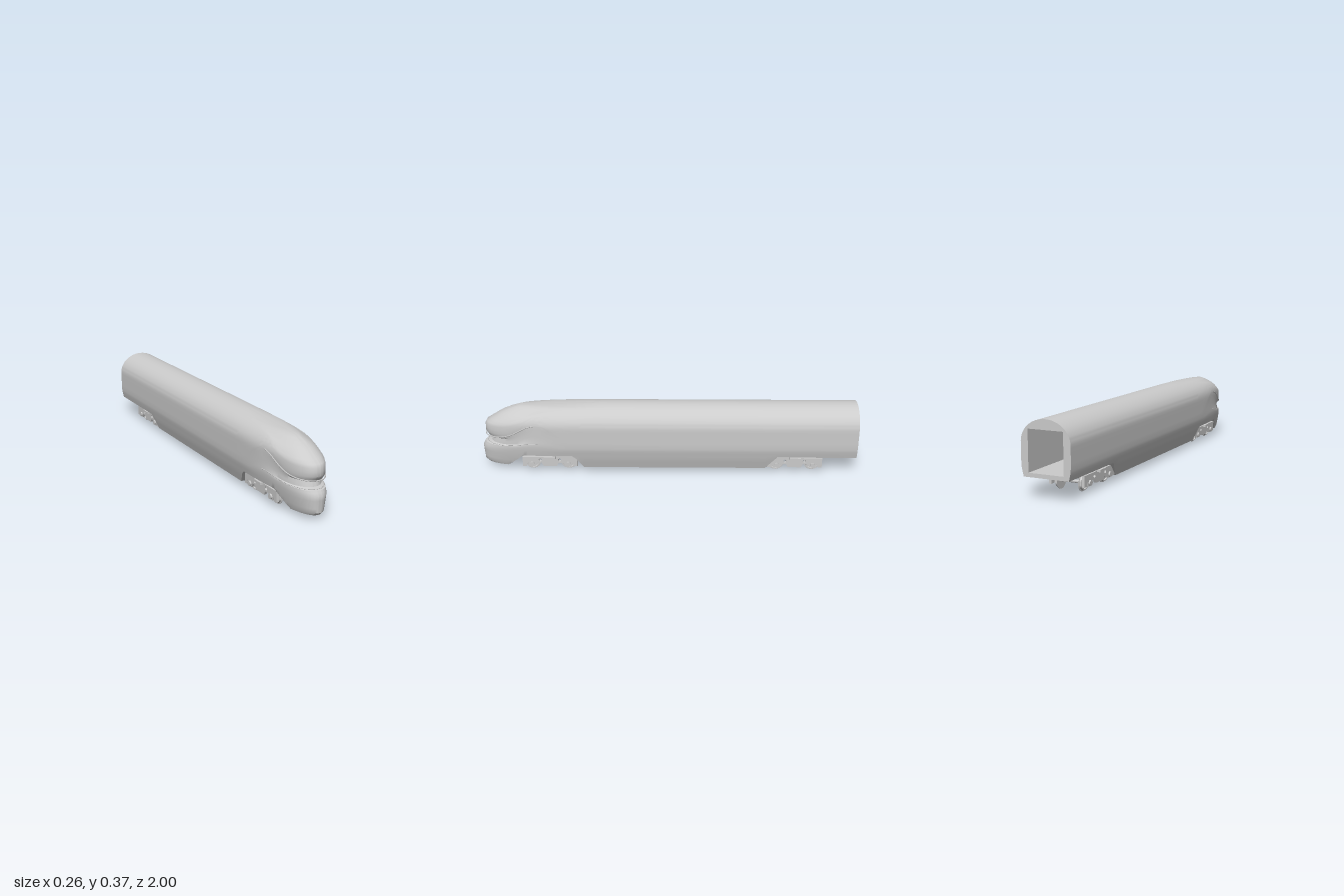
import * as THREE from 'three';
import { toCreasedNormals } from 'three/addons/utils/BufferGeometryUtils.js';

const grey = new THREE.MeshStandardMaterial({ color: 0xcccccc, side: THREE.DoubleSide });

function lerp(points, v) {
  if (v <= points[0][0]) return points[0][1];
  for (let i = 1; i < points.length; i++) {
    const [a, p] = points[i - 1], [b, q] = points[i];
    if (v <= b) return p + (q - p) * (v - a) / (b - a);
  }
  return points[points.length - 1][1];
}

function add(parent, name, geometry, x = 0, y = 0, z = 0) {
  const mesh = new THREE.Mesh(geometry, grey);
  mesh.name = name;
  mesh.position.set(x, y, z);
  parent.add(mesh);
  return mesh;
}

// Half width of the car at a height: tapered skirt, upright sides, round roof
const halfWidth = y => y > 0.26
  ? 0.128 * Math.sqrt(Math.max(0, 1 - ((y - 0.26) / 0.109) ** 2))
  : lerp([[0.025, 0.095], [0.08, 0.112], [0.14, 0.126], [0.17, 0.128]], y);

// Foremost z at a height: bumper, recessed band, then the sloping cab
const TIP = [[0.025, 0.98], [0.04, 0.995], [0.12, 1], [0.145, 0.985], [0.152, 0.95], [0.18, 0.94],
  [0.187, 0.965], [0.21, 0.98], [0.25, 0.978], [0.265, 0.97], [0.29, 0.93], [0.315, 0.89],
  [0.335, 0.845], [0.353, 0.79], [0.36, 0.6], [0.369, 0.36]];

// Underside, raised above the bogies
const FLOOR = [[-0.58, 0.1], [-0.52, 0.025], [0.45, 0.025], [0.5, 0.1], [0.77, 0.1], [0.86, 0.025]];

const ROWS = [0.025, 0.04, 0.06, 0.08, 0.1, 0.12, 0.135, 0.145, 0.152, 0.165, 0.18, 0.187, 0.198, 0.21,
  0.23, 0.25, 0.265, 0.28, 0.29, 0.3, 0.315, 0.325, 0.335, 0.345, 0.353, 0.357, 0.36, 0.363, 0.366,
  0.368, 0.369];

const noseStart = row => 0.45 - 0.2 * THREE.MathUtils.smoothstep(row, 0.3, 0.36);

// Point on the left side of the nose; u runs from the body (0) to the tip (1)
function nosePoint(row, u) {
  const t = Math.sin(u * Math.PI / 2), start = noseStart(row);
  const z = start + (lerp(TIP, row) - start) * t;
  const sweep = lerp([[0.1, 0], [0.15, 0.3], [0.187, 1], [0.25, 0.6], [0.36, 0]], row);
  const rise = 0.09 * Math.exp(-(((t - 0.48) / 0.23) ** 2)) * Math.min(1, t * 5) * sweep;
  const y = Math.max(row + rise, lerp(FLOOR, z));
  const x = u === 1 ? 0 : halfWidth(y) * Math.max(0, 1 - t ** 2.8) ** (1 / 2.2);
  return new THREE.Vector3(x, y, z);
}

function bodyGeometry() {
  const steps = 44, positions = [], index = [];
  for (const row of ROWS) {
    const side = [-1, -0.58, -0.52].map(z => {
      const y = Math.max(row, lerp(FLOOR, z));
      return new THREE.Vector3(halfWidth(y), y, z);
    });
    for (let i = 0; i <= steps; i++) side.push(nosePoint(row, i / steps));
    const mirrored = side.slice(0, -1).reverse().map(p => new THREE.Vector3(-p.x, p.y, p.z));
    for (const p of [...side, ...mirrored]) positions.push(p.x, p.y, p.z);
  }
  const n = positions.length / 3 / ROWS.length;
  for (let j = 0; j < ROWS.length - 1; j++) {
    for (let i = 0; i < n - 1; i++) {
      const a = j * n + i, b = a + n;
      index.push(a, b, a + 1, a + 1, b, b + 1);
    }
  }
  // Underside between the two bottom edges
  for (let i = 0; i < (n - 1) / 2; i++) {
    const q = n - 1 - i;
    index.push(i, i + 1, q, i + 1, q - 1, q);
  }
  const g = new THREE.BufferGeometry();
  g.setAttribute('position', new THREE.Float32BufferAttribute(positions, 3));
  g.setIndex(index);
  return toCreasedNormals(g, 0.65);
}

// Rear wall with a rectangular opening
function rearWallGeometry() {
  const right = ROWS.filter(y => y >= 0.1).map(y => new THREE.Vector2(halfWidth(y), y));
  const left = right.slice(0, -1).reverse().map(p => new THREE.Vector2(-p.x, p.y));
  const shape = new THREE.Shape([...right, ...left]);
  shape.holes.push(new THREE.Path([[-0.091, 0.12], [-0.091, 0.32], [0.091, 0.32], [0.091, 0.12]]
    .map(p => new THREE.Vector2(...p))));
  return new THREE.ShapeGeometry(shape).rotateY(Math.PI);
}

// Trim strip following one row of the nose from side to side
function trimGeometry(row, from, radius, out) {
  const side = [];
  for (let i = 0; i <= 16; i++) {
    const p = nosePoint(row, from + (1 - from) * i / 16);
    side.push(new THREE.Vector3(p.x * (1 + out), p.y, p.z + out * Math.max(0, p.z - 0.6)));
  }
  const mirrored = side.slice(0, -1).reverse().map(p => new THREE.Vector3(-p.x, p.y, p.z));
  return new THREE.TubeGeometry(new THREE.CatmullRomCurve3([...side, ...mirrored]), 80, radius, 6);
}

// Side frame with an axle box over each wheel and a window on each side of the middle
function sideFrameGeometry(axle) {
  const half = [[axle + 0.05, 0.085], [axle + 0.05, 0.03], [axle + 0.03, 0.03], [axle + 0.022, 0.055],
    [axle + 0.014, 0.028], [axle - 0.014, 0.028], [axle - 0.024, 0.05], [0.045, 0.05], [0.035, 0.03]];
  const points = [...half, ...half.slice().reverse().map(([z, y]) => [-z, y])];
  const shape = new THREE.Shape(points.map(p => new THREE.Vector2(...p)));
  for (const s of [-1, 1]) {
    const hole = new THREE.Path();
    hole.absarc(s * 0.052, 0.067, 0.009, 0, Math.PI * 2, true);
    shape.holes.push(hole);
  }
  return new THREE.ExtrudeGeometry(shape, { depth: 0.014, bevelEnabled: false, curveSegments: 8 })
    .rotateY(-Math.PI / 2).translate(0.007, 0, 0);
}

function bogie(name, z) {
  const group = new THREE.Group(), axle = 0.097;
  group.name = name;
  group.position.z = z;
  // Wheel: hub, disc, tread and inner flange
  const wheel = [[0, 0.016], [0.012, 0.016], [0.014, 0.009], [0.029, 0.008], [0.031, 0.014],
    [0.036, 0.014], [0.037, 0.004], [0.043, 0.003], [0.043, 0], [0, 0]]
    .map(p => new THREE.Vector2(...p)).reverse();
  for (const s of [-1, 1]) {
    add(group, 'sideFrame', sideFrameGeometry(axle), s * 0.088);
    add(group, 'spring', new THREE.CylinderGeometry(0.018, 0.018, 0.022, 16), s * 0.082, 0.094, 0);
    add(group, 'frameBracket', new THREE.BoxGeometry(0.02, 0.012, 0.06), s * 0.104, 0.086, 0);
    for (const e of [-1, 1]) {
      const w = add(group, 'wheel', toCreasedNormals(new THREE.LatheGeometry(wheel, 28), 0.5),
        s * 0.056, 0.043, e * axle);
      w.rotation.z = -s * Math.PI / 2;
      const cap = add(group, 'axleBox', new THREE.CylinderGeometry(0.013, 0.013, 0.012, 16),
        s * 0.097, 0.044, e * axle);
      cap.rotation.z = Math.PI / 2;
    }
  }
  for (const e of [-1, 1]) {
    const a = add(group, 'axle', new THREE.CylinderGeometry(0.008, 0.008, 0.18, 12), 0, 0.043, e * axle);
    a.rotation.z = Math.PI / 2;
  }
  add(group, 'bolster', new THREE.BoxGeometry(0.17, 0.03, 0.09), 0, 0.07, 0);
  add(group, 'pivot', new THREE.BoxGeometry(0.1, 0.03, 0.05), 0, 0.092, 0);
  return group;
}

export function createModel() {
  const model = new THREE.Group();
  model.name = 'trainCar';
  add(model, 'body', bodyGeometry());
  add(model, 'rearWall', rearWallGeometry(), 0, 0, -1);

  // Open-ended interior: a box without its rear face
  const inside = new THREE.BoxGeometry(0.182, 0.2, 1.4);
  inside.setIndex(Array.from(inside.index.array).slice(0, 30));
  add(model, 'interior', inside, 0, 0.22, -0.3);

  add(model, 'cabTrim', trimGeometry(0.19, 0.33, 0.003, 0.03));
  add(model, 'bumperTrim', trimGeometry(0.148, 0.3, 0.002, 0.005));

  model.add(bogie('frontBogie', 0.632), bogie('rearBogie', -0.677));
  return model;
}
